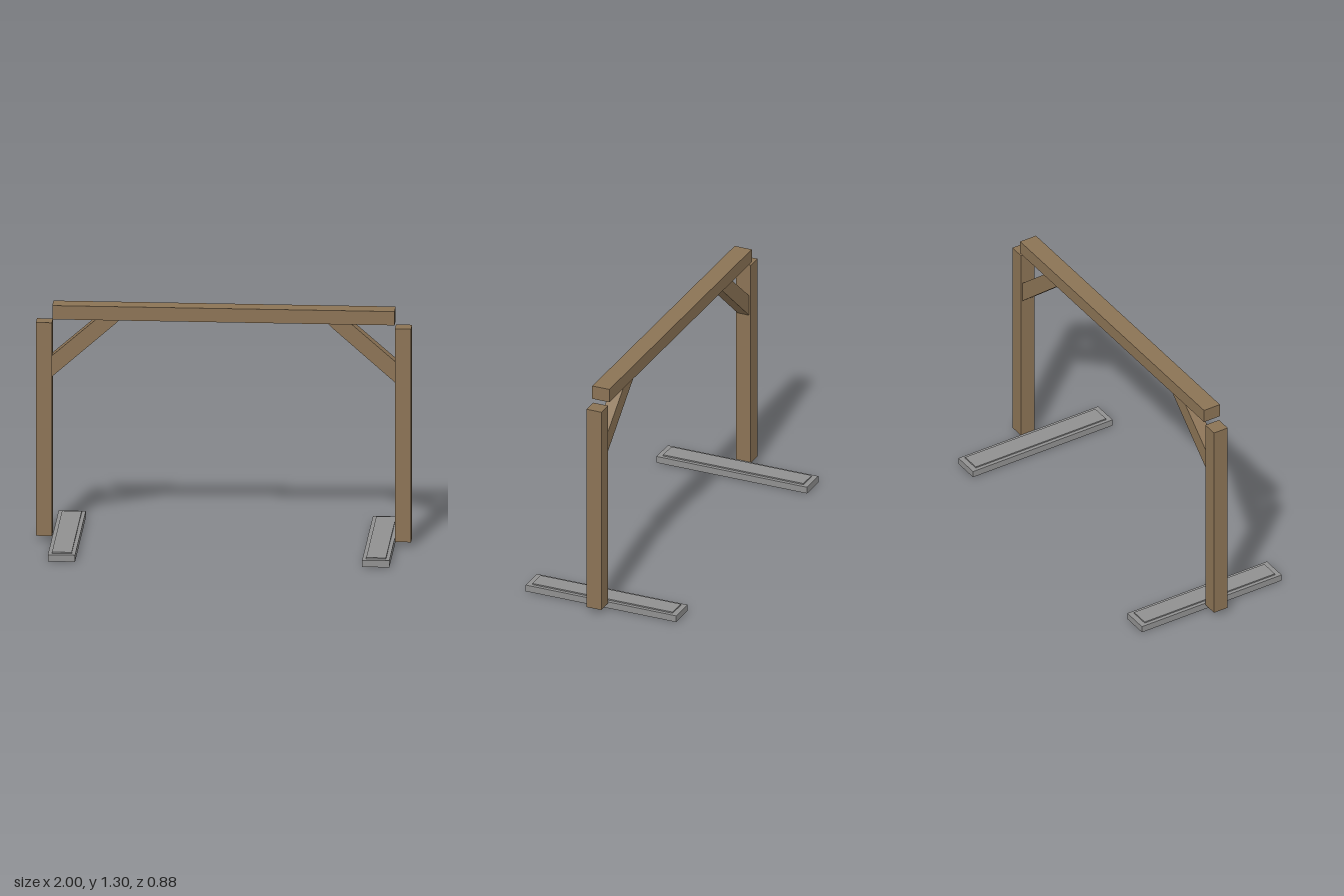
import * as THREE from 'three';

const wood = new THREE.MeshStandardMaterial({ name: 'wood', color: 0x8b7355 });
const stone = new THREE.MeshStandardMaterial({ name: 'stone', color: 0x909090 });

// Box given by its minimum and maximum corners
function box(name, material, [x0, y0, z0], [x1, y1, z1]) {
  const mesh = new THREE.Mesh(new THREE.BoxGeometry(x1 - x0, y1 - y0, z1 - z0), material);
  mesh.position.set((x0 + x1) / 2, (y0 + y1) / 2, (z0 + z1) / 2);
  mesh.name = name;
  return mesh;
}

// Diagonal brace, cut flush against the post and the underside of the beam
function brace() {
  const outline = [[0.915, 0.907], [0.915, 1.023], [0.677, 1.23], [0.56, 1.23], [0.56, 1.224], [0.57, 1.211]];
  const shape = new THREE.Shape(outline.map(([x, y]) => new THREE.Vector2(x, y)));
  const geometry = new THREE.ExtrudeGeometry(shape, { depth: 0.068, bevelEnabled: false });
  geometry.translate(0, 0, -0.034);
  const mesh = new THREE.Mesh(geometry, wood);
  mesh.name = 'brace';
  return mesh;
}

// One end: post, brace and foot slab with a raised panel
function endFrame(name) {
  const group = new THREE.Group();
  group.name = name;
  group.add(
    box('post', wood, [0.914, 0.03, -0.043], [1, 1.207, 0.043]),
    brace(),
    box('footSlab', stone, [0.765, 0, -0.44], [0.91, 0.037, 0.44]),
    box('footPanel', stone, [0.785, 0.036, -0.41], [0.89, 0.044, 0.41])
  );
  return group;
}

export function createModel() {
  const model = new THREE.Group();
  model.name = 'timberFrame';

  const left = endFrame('leftEnd');
  const right = endFrame('rightEnd');
  right.rotation.y = Math.PI; // every end part is symmetric in z
  model.add(left, right);

  // Top beam
  model.add(box('beam', wood, [-0.912, 1.228, -0.05], [0.912, 1.304, 0.05]));
  return model;
}
